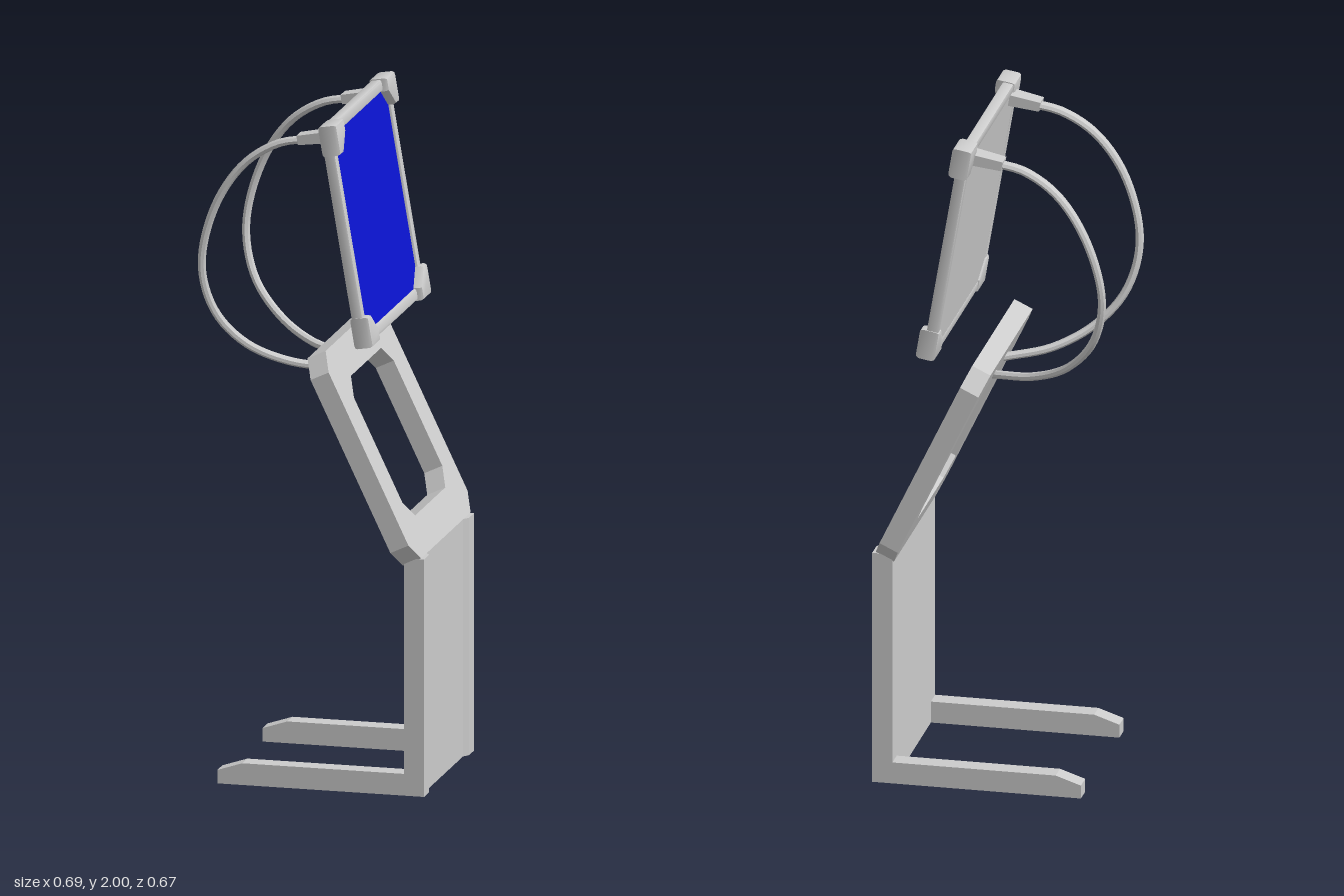
import * as THREE from 'three';
import { toCreasedNormals } from 'three/addons/utils/BufferGeometryUtils.js';

const grey = new THREE.MeshStandardMaterial({ color: 0xcccccc });
const blue = new THREE.MeshStandardMaterial({ color: 0x0a14d2 });

function part(name, geometry, material = grey) {
  const mesh = new THREE.Mesh(geometry, material);
  mesh.name = name;
  return mesh;
}

const outline = pts => pts.map(p => new THREE.Vector2(...p));

// Square of half size h with its corners cut by c
const octagon = (h, c) => outline([
  [h, -h + c], [h, h - c], [h - c, h], [-h + c, h],
  [-h, h - c], [-h, -h + c], [-h + c, -h], [h - c, -h]]);

// Plate whose outline lies in the z-y plane, reaching from x0 to x1
function plate(points, x0, x1, bevel = 0, hole = null) {
  const shape = new THREE.Shape(points);
  if (hole) shape.holes.push(new THREE.Path(hole));
  const g = new THREE.ExtrudeGeometry(shape, {
    depth: x1 - x0 - 2 * bevel, bevelEnabled: bevel > 0, bevelSize: bevel,
    bevelThickness: bevel, bevelOffset: -bevel, bevelSegments: 2 });
  g.translate(0, 0, x0 + bevel).rotateY(Math.PI / 2);
  return toCreasedNormals(g, 0.6);
}

// Curved arm: a tube along a path, widened in z
function armGeometry(side) {
  const path = new THREE.CatmullRomCurve3([
    [0.0, 1.938, 0.248], [-0.1, 1.918, 0.25], [-0.2, 1.853, 0.257], [-0.285, 1.725, 0.263],
    [-0.33, 1.54, 0.25], [-0.298, 1.395, 0.22], [-0.215, 1.295, 0.18],
    [-0.1, 1.235, 0.122], [0.035, 1.212, 0.072],
  ].map(([x, y, z]) => new THREE.Vector3(x, y, z * side)));
  const segments = 48, sides = 8;
  const g = new THREE.TubeGeometry(path, segments, 0.012, sides);
  const pos = g.attributes.position;
  for (let i = 0; i < pos.count; i++) {
    const t = Math.floor(i / (sides + 1)) / segments;
    const z = path.getPointAt(t).z;
    pos.setZ(i, z + (pos.getZ(i) - z) * (1.65 - 0.45 * t));
  }
  g.computeVertexNormals();
  return toCreasedNormals(g, 0.5);
}

export function createModel() {
  const model = new THREE.Group();
  model.name = 'displayStand';

  // Stand: two L-shaped side rails joined by a panel
  const rail = new THREE.Shape(outline([
    [-0.275, 0], [0.345, 0], [0.345, 0.71], [0.285, 0.71],
    [0.285, 0.065], [-0.2, 0.065], [-0.275, 0.04]]));
  for (const side of [1, -1]) {
    const g = new THREE.ExtrudeGeometry(rail, { depth: 0.057, bevelEnabled: false });
    g.translate(0, 0, side > 0 ? 0.225 : -0.282);
    model.add(part(side > 0 ? 'leftSideRail' : 'rightSideRail', g));
  }
  const panel = new THREE.Shape(outline([
    [0.285, -0.225], [0.345, -0.225], [0.332, -0.205],
    [0.332, 0.205], [0.345, 0.225], [0.285, 0.225]]));
  const panelGeometry = new THREE.ExtrudeGeometry(panel, { depth: 0.71, bevelEnabled: false });
  panelGeometry.rotateX(-Math.PI / 2);
  model.add(part('standPanel', panelGeometry));

  // Tilted open frame on top of the stand
  const frame = part('openFrame', plate(octagon(0.333, 0.055), -0.03, 0.03, 0, octagon(0.224, 0.055)));
  frame.position.set(0.165, 1.0, 0);
  frame.rotation.z = 0.445;
  model.add(frame);

  // Tilted screen
  const screen = new THREE.Group();
  screen.name = 'screen';
  screen.position.set(0.118, 1.67, 0);
  screen.rotation.z = 0.168;
  model.add(screen);
  screen.add(part('screenBack', plate(octagon(0.315, 0.02), -0.018, 0.002)));
  screen.add(part('screenGlass', plate(octagon(0.305, 0.05), 0.002, 0.006), blue));
  screen.add(part('screenRim', plate(octagon(0.33, 0.008), -0.02, 0.014, 0.006, octagon(0.297, 0.008))));

  // Thick corner guards with a diagonal inner edge
  for (const sz of [1, -1]) for (const sy of [1, -1]) {
    const pts = outline([[0.333, 0.333], [0.243, 0.333], [0.243, 0.295], [0.295, 0.243], [0.333, 0.243]]
      .map(([z, y]) => [-z * sz, y * sy]));
    screen.add(part('cornerGuard', plate(pts, -0.026, 0.034, 0.011)));
  }

  // Tapered sockets behind the top corners
  for (const side of [1, -1]) {
    const g = new THREE.CylinderGeometry(0.72, 0.6, 1, 4, 1).toNonIndexed();
    g.rotateY(Math.PI / 4).rotateZ(-Math.PI / 2).scale(0.095, 0.033, 0.058);
    g.computeVertexNormals();
    const socket = part('armSocket', g);
    socket.position.set(-0.062, 0.288, 0.248 * side);
    screen.add(socket);
    model.add(part(side > 0 ? 'leftArm' : 'rightArm', armGeometry(side)));
  }
  return model;
}
